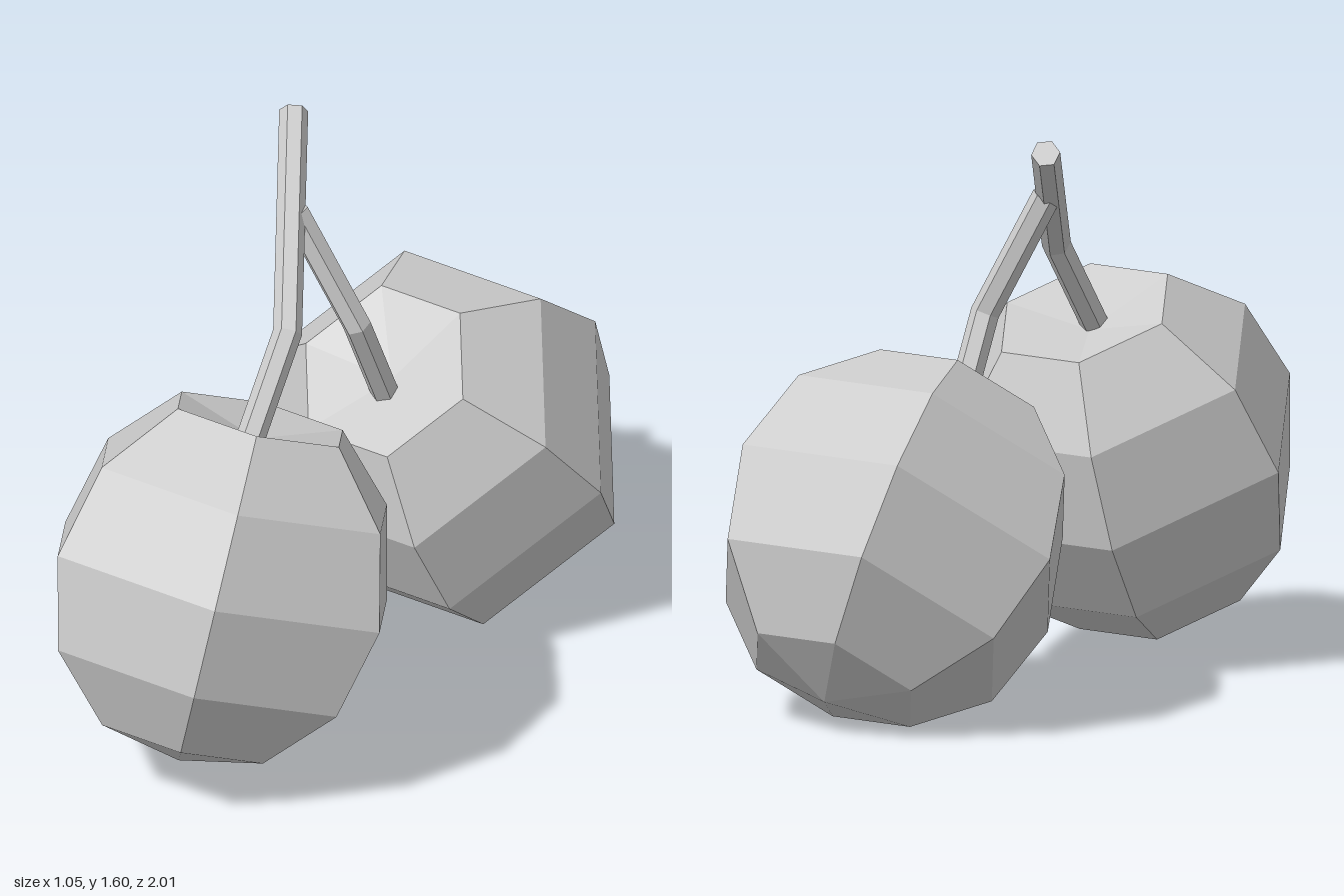
import * as THREE from 'three';

const material = new THREE.MeshStandardMaterial({ color: 0xcccccc, flatShading: true });
const SIDES = 6;

// Faceted ball with its top pole pushed in to form the stem dimple
function makeCherry(name, y, z, tilt) {
  const geometry = new THREE.SphereGeometry(0.525, 6, 6);
  const pos = geometry.attributes.position;
  for (let i = 0; i < pos.count; i++) if (pos.getY(i) > 0.5) pos.setY(i, 0.4);
  geometry.computeVertexNormals();
  const mesh = new THREE.Mesh(geometry, material);
  mesh.name = name;
  mesh.position.set(0, y, z);
  mesh.rotation.x = tilt;
  return mesh;
}

// Hexagonal rod along a bent path, with mitred joints and closed ends
function makeStem(name, path, radius) {
  const pts = path.map((p) => new THREE.Vector3(...p));
  const last = pts.length - 1;
  const dirs = pts.slice(1).map((p, i) => p.clone().sub(pts[i]).normalize());
  const a = new THREE.Vector3(1, 0, 0);
  const b = dirs[0].clone().cross(a).normalize();

  const rings = [];
  pts.forEach((p, k) => {
    const into = dirs[Math.max(k - 1, 0)];
    const normal = into.clone().add(dirs[Math.min(k, last - 1)]).normalize();
    const ring = [];
    for (let i = 0; i < SIDES; i++) {
      if (k === 0) {
        const t = ((i + 0.5) / SIDES) * Math.PI * 2;
        ring.push(p.clone().addScaledVector(a, radius * Math.cos(t)).addScaledVector(b, radius * Math.sin(t)));
      } else {
        // slide the previous corner along its segment onto the mitre plane
        const q = rings[k - 1][i].clone();
        const d = p.clone().sub(q).dot(normal) / into.dot(normal);
        ring.push(q.addScaledVector(into, d));
      }
    }
    rings.push(ring);
  });

  const tris = [];
  for (let i = 0; i < SIDES; i++) {
    const j = (i + 1) % SIDES;
    for (let k = 0; k < last; k++) {
      const [r, s] = [rings[k], rings[k + 1]];
      tris.push(r[i], r[j], s[j], r[i], s[j], s[i]);
    }
    tris.push(pts[0], rings[0][j], rings[0][i]);
    tris.push(pts[last], rings[last][i], rings[last][j]);
  }
  const geometry = new THREE.BufferGeometry().setFromPoints(tris);
  geometry.computeVertexNormals();
  const mesh = new THREE.Mesh(geometry, material);
  mesh.name = name;
  return mesh;
}

export function createModel() {
  const group = new THREE.Group();
  group.name = 'cherryPair';

  group.add(makeCherry('frontCherry', 0.57, 0.535, -0.415));
  group.add(makeCherry('backCherry', 0.495, -0.535, 0.685));

  // Long stem from the front cherry, and a branch joining it from the back one
  group.add(makeStem('mainStem', [[0, 0.92, 0.42], [0, 1.2, 0.22], [-0.315, 1.565, -0.265]], 0.04));
  group.add(makeStem('branchStem', [[0, 0.78, -0.25], [0, 1.06, -0.115], [-0.165, 1.395, -0.055]], 0.04));
  return group;
}
